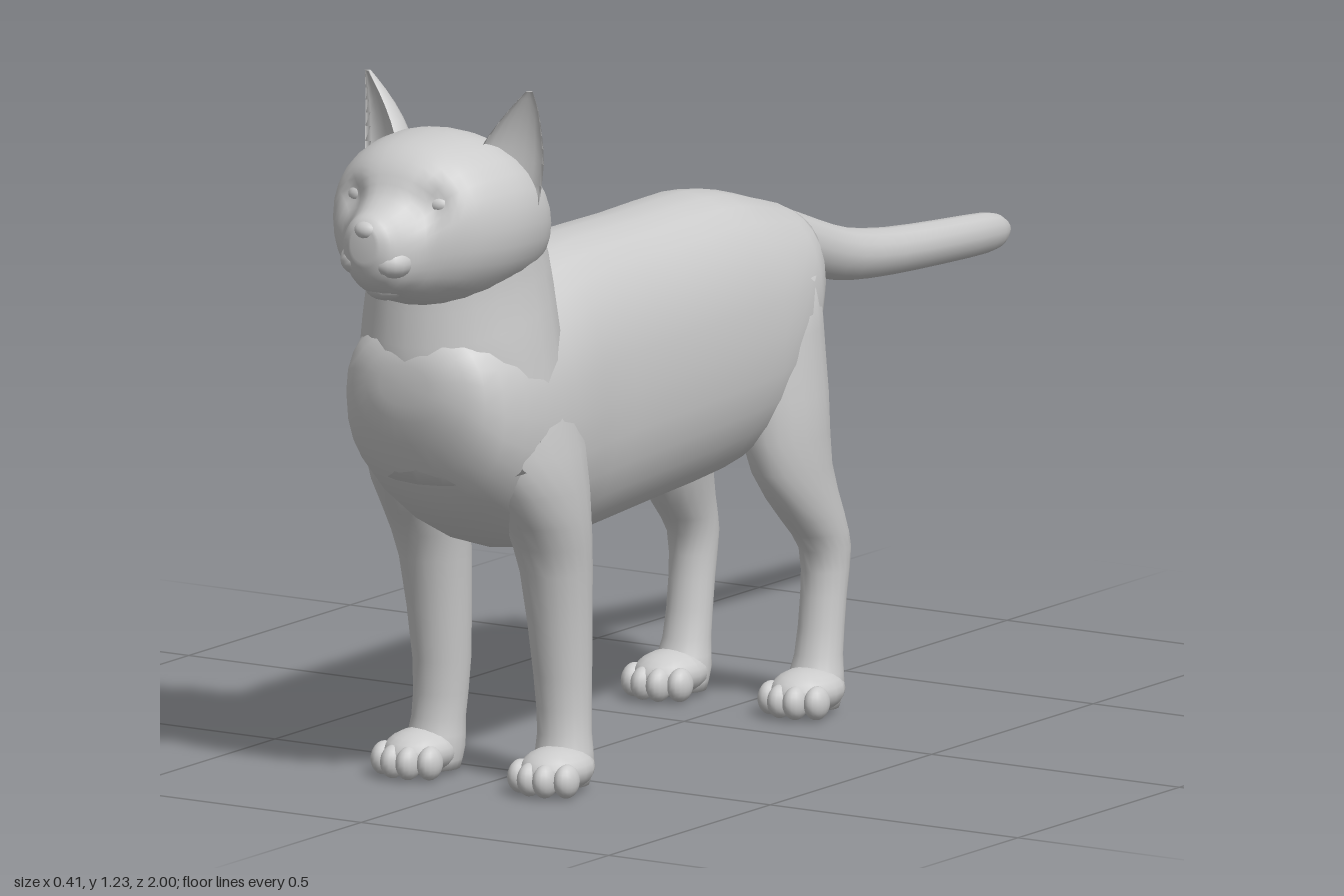
import * as THREE from 'three';

const material = new THREE.MeshStandardMaterial({ color: 0xcccccc });

// Catmull-Rom resampling of a list of rings, component by component
function resample(rings, steps) {
  const at = (i) => rings[Math.min(Math.max(i, 0), rings.length - 1)];
  const out = [];
  for (let i = 0; i < rings.length - 1; i++) {
    for (let s = 0; s < steps; s++) {
      const t = s / steps;
      out.push(at(i).map((b, k) => {
        const a = at(i - 1)[k], c = at(i + 1)[k], d = at(i + 2)[k];
        return b + 0.5 * t * (c - a + t * (2 * a - 5 * b + 4 * c - d + t * (3 * (b - c) + d - a)));
      }));
    }
  }
  out.push(rings[rings.length - 1]);
  return out;
}

// Closed skin through rings [x, y, z, halfWidth, halfDepth]; tilt turns the ring plane
// about x (0: runs forward, 90: down, -90: up, 180: backward). warp may move points.
function loft(rings, tilt, { sides = 20, steps = 2, power = 2, front = 1, warp } = {}) {
  const list = resample(rings, steps);
  const t = THREE.MathUtils.degToRad(tilt);
  const pos = [], index = [];
  const bend = (c) => Math.sign(c) * Math.abs(c) ** (2 / power);
  for (const [x, y, z, w, h] of list) {
    for (let j = 0; j < sides; j++) {
      const a = (j / sides) * Math.PI * 2;
      const u = bend(Math.cos(a)) * w;
      const v = bend(Math.sin(a)) * h * (Math.sin(a) < 0 ? front : 1);
      const p = new THREE.Vector3(x + u, y + v * Math.cos(t), z + v * Math.sin(t));
      if (warp) warp(p);
      pos.push(p.x, p.y, p.z);
    }
  }
  const n = list.length;
  for (let i = 0; i < n - 1; i++) {
    for (let j = 0; j < sides; j++) {
      const a = i * sides + j, b = i * sides + (j + 1) % sides;
      index.push(a, b, a + sides, b, b + sides, a + sides);
    }
  }
  // End caps
  const first = n * sides, last = first + 1;
  pos.push(...list[0].slice(0, 3), ...list[n - 1].slice(0, 3));
  for (let j = 0; j < sides; j++) {
    const k = (j + 1) % sides;
    index.push(first, k, j, last, (n - 1) * sides + j, (n - 1) * sides + k);
  }
  const g = new THREE.BufferGeometry();
  g.setAttribute('position', new THREE.Float32BufferAttribute(pos, 3));
  g.setIndex(index);
  g.computeVertexNormals();
  return g;
}

function ellipsoid(x, y, z, rx, ry, rz) {
  return new THREE.SphereGeometry(1, 16, 12).scale(rx, ry, rz).translate(x, y, z);
}

// Reflected copy across x = 0 with the winding put right
function mirrored(geometry) {
  const g = geometry.clone().scale(-1, 1, 1);
  const ix = g.index.array;
  for (let i = 0; i < ix.length; i += 3) [ix[i], ix[i + 1]] = [ix[i + 1], ix[i]];
  g.computeVertexNormals();
  return g;
}

export function createModel() {
  const cat = new THREE.Group();
  cat.name = 'cat';

  const add = (name, geometry) => {
    const mesh = new THREE.Mesh(geometry, material);
    mesh.name = name;
    cat.add(mesh);
  };
  const addPair = (name, geometry) => {
    add(name + 'Left', geometry);
    add(name + 'Right', mirrored(geometry));
  };

  // Torso, rump to chest: [z, top, bottom, half width]
  const torso = [
    [-0.275, 0.82, 0.74, 0.04], [-0.26, 0.855, 0.67, 0.11], [-0.2, 0.875, 0.55, 0.15],
    [-0.1, 0.905, 0.46, 0.168], [0, 0.92, 0.43, 0.168], [0.2, 0.918, 0.415, 0.165],
    [0.4, 0.92, 0.402, 0.165], [0.5, 0.91, 0.4, 0.17], [0.6, 0.89, 0.41, 0.18],
    [0.7, 0.88, 0.45, 0.18], [0.8, 0.85, 0.53, 0.16], [0.85, 0.82, 0.63, 0.115],
    [0.868, 0.77, 0.7, 0.05],
  ].map(([z, top, low, w]) => [0, (top + low) / 2, z, w, (top - low) / 2]);
  add('torso', loft(torso, 0, { sides: 28, power: 2.25 }));

  // Neck rising steeply into the head
  add('neck', loft([
    [0, 0.6, 0.665, 0.185, 0.165], [0, 0.78, 0.695, 0.17, 0.178],
    [0, 0.9, 0.7, 0.154, 0.165], [0, 0.98, 0.72, 0.15, 0.14],
  ], -75, { sides: 24 }));

  // Head, nape to nose: [z, top, bottom, half width], with sunken eye sockets
  const head = [
    [0.585, 1.02, 0.95, 0.07], [0.605, 1.065, 0.9, 0.12], [0.66, 1.125, 0.875, 0.16],
    [0.73, 1.158, 0.865, 0.176], [0.8, 1.16, 0.865, 0.17], [0.86, 1.148, 0.875, 0.148],
    [0.9, 1.12, 0.89, 0.115], [0.925, 1.08, 0.9, 0.083], [0.955, 1.058, 0.91, 0.062],
    [0.982, 1.046, 0.935, 0.048], [0.995, 1.03, 0.97, 0.025],
  ].map(([z, top, low, w]) => [0, (top + low) / 2, z, w, (top - low) / 2]);
  const socket = (p) => {
    const d2 = (Math.abs(p.x) - 0.08) ** 2 + (p.y - 1.06) ** 2;
    if (p.z > 0.8) p.z -= 0.022 * Math.exp(-d2 / 0.0009);
  };
  add('head', loft(head, 0, { sides: 32, steps: 3, power: 2.15, warp: socket }));

  // Face details
  addPair('eye', ellipsoid(0.078, 1.06, 0.877, 0.026, 0.017, 0.02));
  addPair('upperLip', ellipsoid(0.03, 0.967, 0.95, 0.037, 0.03, 0.04));
  add('nose', ellipsoid(0, 1.024, 0.982, 0.024, 0.017, 0.018));
  add('chin', ellipsoid(0, 0.92, 0.925, 0.036, 0.026, 0.036));

  // Ears: cupped shells, opening turned a little outward
  const ear = loft([
    [-0.01, 1.04, 0, 0.062, 0.06], [0, 1.11, 0, 0.06, 0.055], [0.012, 1.16, 0, 0.045, 0.042],
    [0.026, 1.205, 0.004, 0.025, 0.024], [0.036, 1.238, 0.01, 0.006, 0.008],
  ], -90, { sides: 16, front: -0.45 }).rotateY(0.5).translate(0.128, 0, 0.74);
  addPair('ear', ear);

  // Legs, top to foot
  addPair('frontLeg', loft([
    [0.1, 0.77, 0.66, 0.06, 0.1], [0.114, 0.6, 0.65, 0.078, 0.125], [0.122, 0.47, 0.61, 0.07, 0.085],
    [0.122, 0.38, 0.583, 0.061, 0.064], [0.122, 0.2, 0.563, 0.05, 0.05],
    [0.127, 0.1, 0.565, 0.047, 0.045], [0.13, 0.05, 0.572, 0.052, 0.052], [0.13, 0.012, 0.575, 0.045, 0.045],
  ], 90));
  addPair('hindLeg', loft([
    [0.095, 0.76, -0.14, 0.06, 0.1], [0.108, 0.56, -0.137, 0.07, 0.1], [0.12, 0.43, -0.15, 0.058, 0.09],
    [0.13, 0.34, -0.198, 0.047, 0.07], [0.133, 0.28, -0.232, 0.042, 0.05],
    [0.133, 0.2, -0.228, 0.04, 0.039], [0.133, 0.1, -0.213, 0.042, 0.04],
    [0.134, 0.05, -0.2, 0.05, 0.05], [0.134, 0.012, -0.195, 0.045, 0.042],
  ], 90));

  // Paws with four toes each
  for (const [name, z] of [['frontPaw', 0.605], ['hindPaw', -0.17]]) {
    addPair(name, ellipsoid(0.138, 0.044, z, 0.06, 0.04, 0.075));
    for (let i = 0; i < 4; i++) {
      const off = i - 1.5;
      const reach = 0.062 - 0.009 * off * off;
      addPair(name + 'Toe' + (i + 1), ellipsoid(0.138 + off * 0.031, 0.034, z + reach, 0.02, 0.029, 0.028));
    }
  }

  // Tail
  add('tail', loft([
    [0, 0.8, -0.22, 0.06, 0.06], [0, 0.785, -0.3, 0.052, 0.056], [0, 0.752, -0.4, 0.046, 0.052],
    [0, 0.725, -0.5, 0.043, 0.046], [0, 0.707, -0.63, 0.04, 0.041], [0, 0.694, -0.8, 0.035, 0.038],
    [0, 0.686, -0.93, 0.029, 0.035], [0, 0.683, -0.975, 0.021, 0.026], [0, 0.682, -1, 0.008, 0.01],
  ], 180, { sides: 14 }));

  return cat;
}
